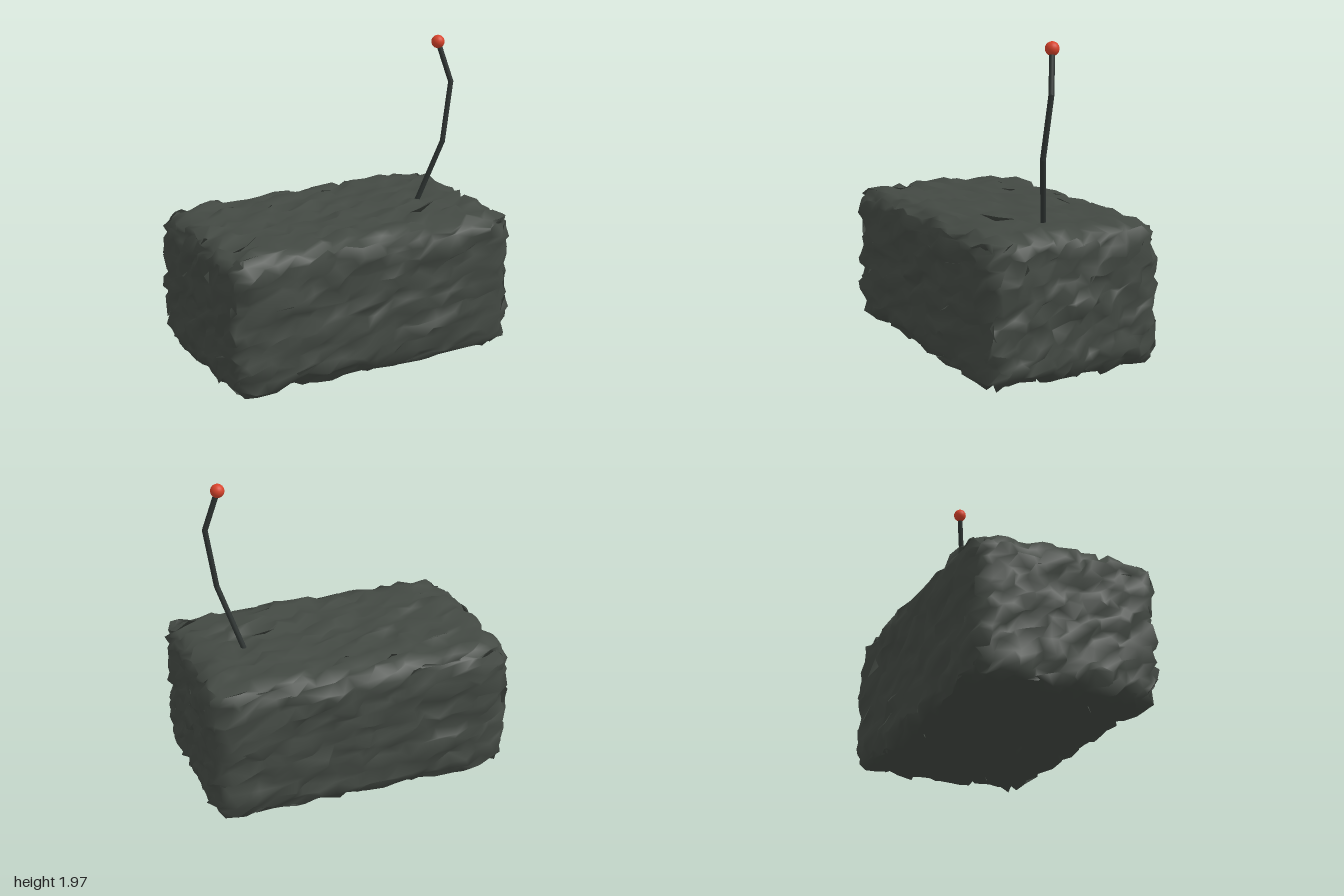
import * as THREE from 'three';
import { mergeVertices } from 'three/addons/utils/BufferGeometryUtils.js';

const material = (name, color) => {
  const m = new THREE.MeshStandardMaterial({ color });
  m.name = name;
  return m;
};

// small seeded generator giving values from -1 to 1
function makeRandom(seed) {
  return () => {
    seed = (seed * 16807) % 2147483647;
    return (seed / 2147483647) * 2 - 1;
  };
}

// rounded block whose welded vertices are jittered into ragged, craggy rock
function roughBlock(half, radius, segments, outward, sideways) {
  const box = new THREE.BoxGeometry(half.x * 2, half.y * 2, half.z * 2, ...segments);
  box.deleteAttribute('normal');
  box.deleteAttribute('uv');
  const geometry = mergeVertices(box, 1e-4);
  const pos = geometry.attributes.position;
  const inner = half.clone().subScalar(radius);
  const random = makeRandom(4711);
  const p = new THREE.Vector3();
  const core = new THREE.Vector3();
  const normal = new THREE.Vector3();
  const shift = new THREE.Vector3();
  for (let i = 0; i < pos.count; i++) {
    p.fromBufferAttribute(pos, i);
    core.copy(p).clamp(inner.clone().negate(), inner);
    normal.copy(p).sub(core).normalize();
    shift.set(random(), random(), random()).multiply(sideways);
    shift.addScaledVector(normal, -shift.dot(normal));
    p.copy(core).addScaledVector(normal, radius + random() * outward).add(shift);
    pos.setXYZ(i, p.x, p.y, p.z);
  }
  geometry.computeVertexNormals();
  return geometry;
}

export function createModel() {
  const group = new THREE.Group();
  const stone = material('dark stone', 0x434943);
  stone.side = THREE.DoubleSide;
  const metal = material('dark metal', 0x2f3533);
  const red = material('red', 0xd8432b);

  const add = (name, geometry, mat, parent = group) => {
    const mesh = new THREE.Mesh(geometry, mat);
    mesh.name = name;
    parent.add(mesh);
    return mesh;
  };

  // craggy body
  const body = add('body', roughBlock(
    new THREE.Vector3(0.965, 0.44, 0.583), 0.12, [20, 18, 20], 0.027,
    new THREE.Vector3(0.04, 0.03, 0.035)), stone);
  body.position.y = 0.475;

  // bent antenna made of straight rods
  const antenna = new THREE.Group();
  antenna.name = 'antenna';
  group.add(antenna);
  const joints = [[0.58, 0.86, 0.005], [0.725, 1.3, 0.095], [0.787, 1.68, 0.078], [0.713, 1.935, 0.032]]
    .map((c) => new THREE.Vector3(...c));
  const up = new THREE.Vector3(0, 1, 0);
  for (let i = 0; i < joints.length - 1; i++) {
    const along = joints[i + 1].clone().sub(joints[i]);
    const rod = add('antennaRod', new THREE.CylinderGeometry(0.017, 0.017, along.length(), 10), metal, antenna);
    rod.position.copy(joints[i]).addScaledVector(along, 0.5);
    rod.quaternion.setFromUnitVectors(up, along.normalize());
    // fill the elbow
    if (i > 0) add('antennaJoint', new THREE.SphereGeometry(0.017, 10, 8), metal, antenna).position.copy(joints[i]);
  }

  // ball on the tip
  add('antennaBall', new THREE.SphereGeometry(0.042, 20, 14), red, antenna).position.copy(joints[3]);

  return group;
}
